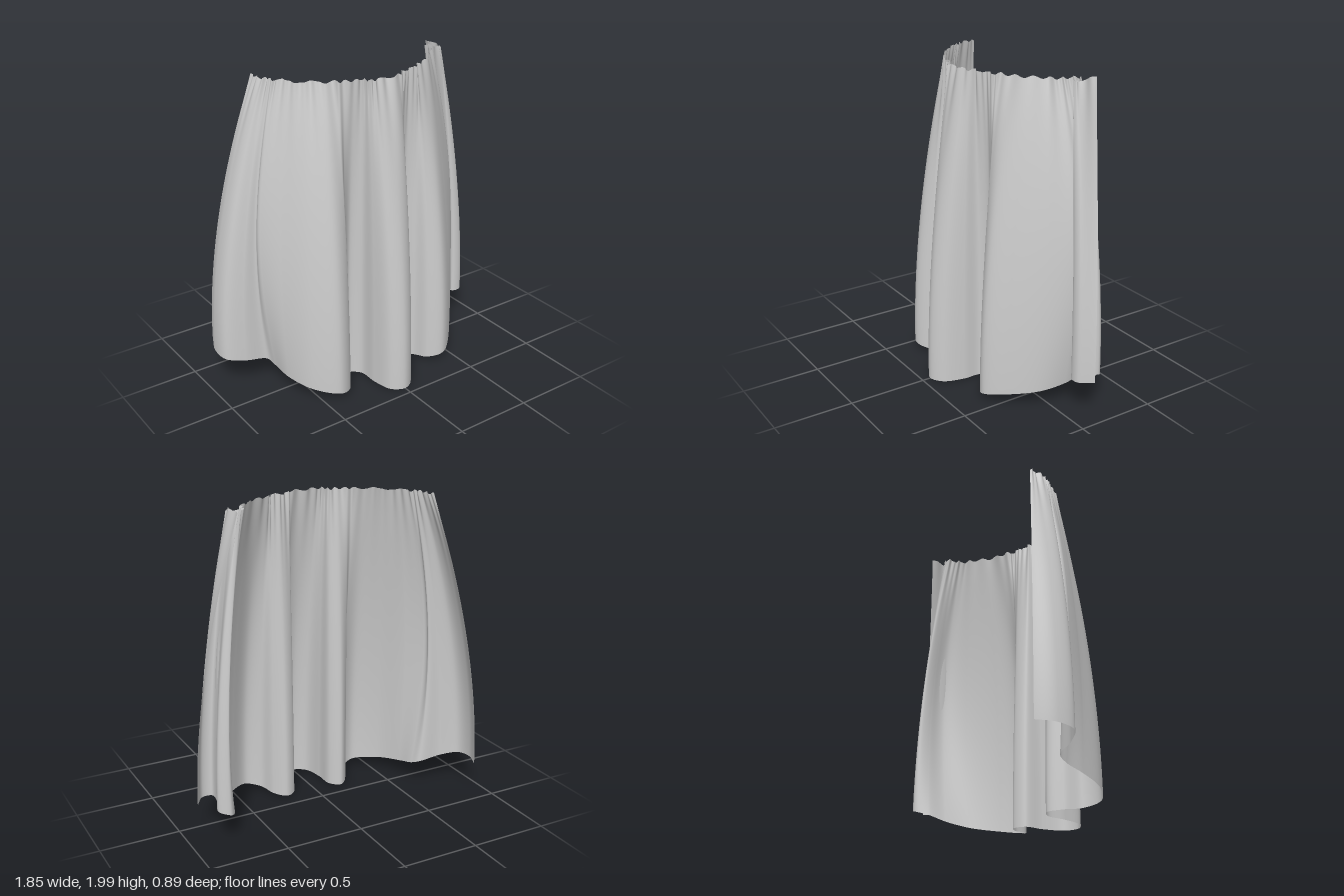
import * as THREE from 'three';
import { ParametricGeometry } from 'three/addons/geometries/ParametricGeometry.js';

// Fold control points, from the right free edge round the front to the left one: hem x, hem z, top x, top z
const folds = [
  [-0.88, -0.45, -0.60, -0.28],
  [-0.925, -0.33, -0.60, -0.23],
  [-0.91, -0.22, -0.59, -0.17],
  [-0.80, -0.165, -0.575, -0.145],
  [-0.66, -0.14, -0.56, -0.125],
  [-0.635, -0.08, -0.545, -0.10],
  [-0.615, 0.04, -0.50, -0.04],
  [-0.54, 0.21, -0.43, 0.03],
  [-0.40, 0.32, -0.36, 0.085],
  [-0.30, 0.27, -0.29, 0.125],
  [-0.26, 0.16, -0.25, 0.15],
  [-0.19, 0.09, -0.19, 0.165],
  [-0.125, 0.14, -0.14, 0.185],
  [-0.115, 0.27, -0.12, 0.21],
  [-0.08, 0.40, -0.08, 0.225],
  [0, 0.445, 0, 0.23],
  [0.08, 0.40, 0.08, 0.225],
  [0.125, 0.27, 0.12, 0.21],
  [0.135, 0.15, 0.14, 0.185],
  [0.205, 0.11, 0.20, 0.165],
  [0.275, 0.17, 0.26, 0.15],
  [0.32, 0.27, 0.30, 0.125],
  [0.41, 0.315, 0.37, 0.085],
  [0.54, 0.22, 0.45, 0.03],
  [0.66, 0.06, 0.53, -0.04],
  [0.705, -0.09, 0.575, -0.09],
  [0.715, -0.21, 0.59, -0.14],
  [0.77, -0.285, 0.61, -0.19],
  [0.835, -0.245, 0.635, -0.195],
  [0.80, -0.14, 0.645, -0.15],
  [0.80, -0.06, 0.66, -0.115],
  [0.86, -0.055, 0.685, -0.135],
  [0.925, -0.14, 0.66, -0.275],
];

const curve = (i) => new THREE.CatmullRomCurve3(
  folds.map((f) => new THREE.Vector3(f[i], 0, f[i + 1])), false, 'centripetal');

export function createModel() {
  const group = new THREE.Group();
  group.name = 'gatheredSkirt';
  const hem = curve(0), top = curve(2);
  const h = new THREE.Vector3(), p = new THREE.Vector3();

  const cloth = (u, v, target) => {
    hem.getPoint(u, h);
    top.getPoint(u, p);
    const drop = 1 - v; // 0 at the waist, 1 at the hem
    const fall = drop * (0.4 + 0.6 * drop); // rows are denser near the waist
    const flare = 1 - Math.pow(1 - fall, 1.85);
    // Hem rises towards the two free edges
    const side = Math.abs(u * (folds.length - 1) - 15);
    const hemY = 0.225 * THREE.MathUtils.smoothstep(side, 3.6, 15);
    // Side folds bulge halfway down
    const bulge = 0.09 * Math.sin(Math.PI * fall) * Math.exp(-(((side - 10.2) / 1.3) ** 2));
    // Small gathers that fade out below the waist
    const gather = 0.006 * Math.sin(u * 260 + 3 * Math.sin(u * 31)) * Math.exp(-fall * 12)
      + 0.006 * Math.sin(u * 110 + 2 * Math.sin(u * 23)) * Math.exp(-fall * 6);
    const len = Math.hypot(p.x, p.z + 0.35);
    const x = p.x + (h.x - p.x) * flare + Math.sign(h.x) * bulge + gather * p.x / len;
    const z = p.z + (h.z - p.z) * flare + gather * (p.z + 0.35) / len;
    const ruffle = 0.007 * Math.sin(u * 150 + 3 * Math.sin(u * 17)) * Math.exp(-fall * 20);
    target.set(x, THREE.MathUtils.lerp(1.988, hemY, fall) + ruffle, z);
  };

  const skirt = new THREE.Mesh(
    new ParametricGeometry(cloth, 480, 70),
    new THREE.MeshStandardMaterial({ color: 0xcccccc, side: THREE.DoubleSide }));
  skirt.name = 'drapedCloth';
  group.add(skirt);
  return group;
}
